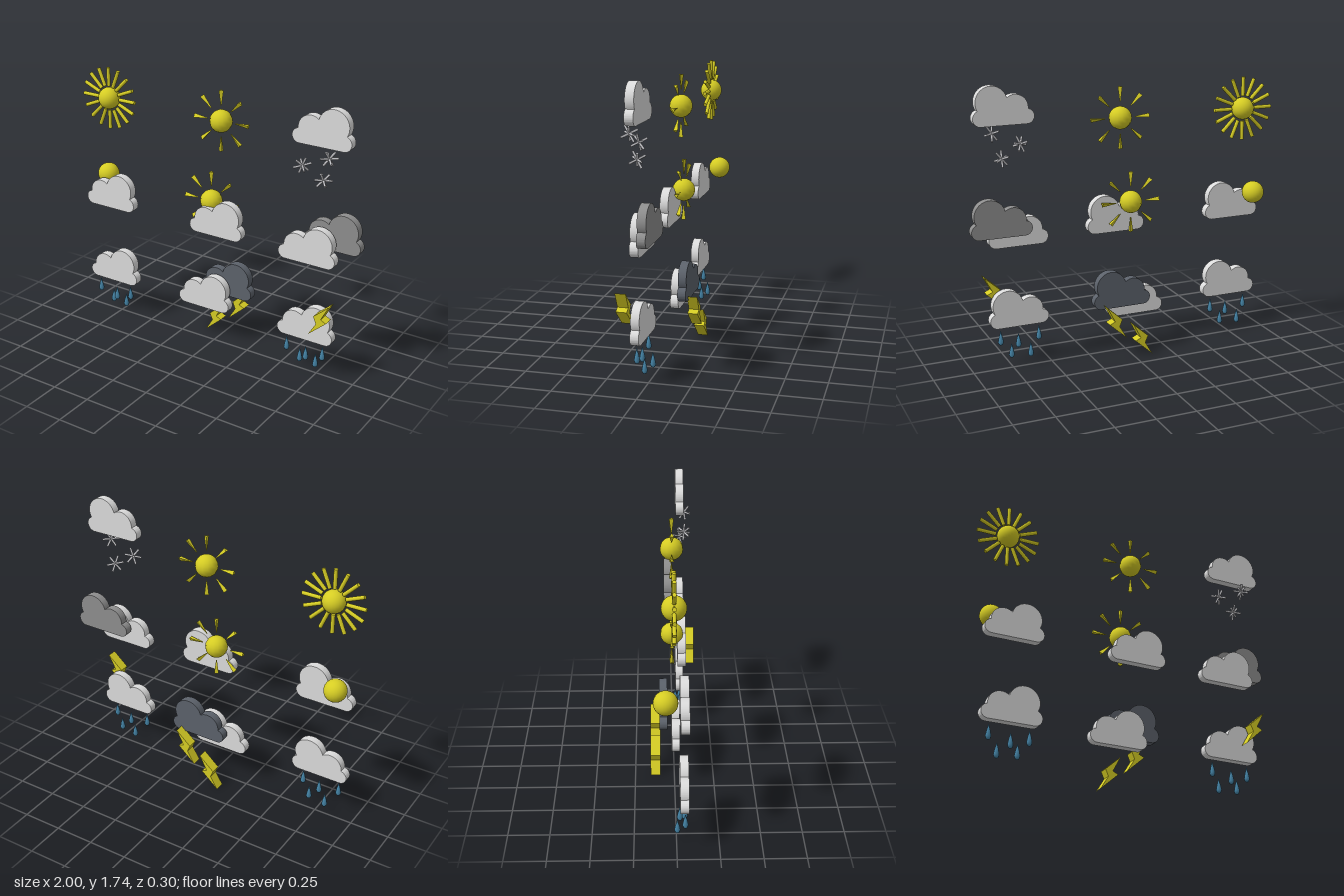
import * as THREE from 'three';
import { toCreasedNormals } from 'three/addons/utils/BufferGeometryUtils.js';

const material = (name, color, flatShading = false) => {
  const m = new THREE.MeshStandardMaterial({ color, flatShading });
  m.name = name;
  return m;
};

export function createModel() {
  const yellow = material('sun yellow', 0xd6cd24);
  const lightGrey = material('cloud grey', 0xdcdcdc);
  const darkGrey = material('dark cloud grey', 0x8e8e8e);
  const slate = material('storm slate', 0x5c626b);
  const blue = material('rain blue', 0x4585a8);
  const snowGrey = material('snow grey', 0xc4c4c8);

  const model = new THREE.Group();
  model.name = 'weatherSymbols';

  const add = (parent, name, geometry, mat, x = 0, y = 0, z = 0) => {
    const mesh = new THREE.Mesh(geometry, mat);
    mesh.name = name;
    mesh.position.set(x, y, z);
    parent.add(mesh);
    return mesh;
  };
  const group = (name, x, y, z) => {
    const g = new THREE.Group();
    g.name = name;
    g.position.set(x, y, z);
    model.add(g);
    return g;
  };

  // Cloud outline: union of four circles [x, y, radius] on a flat base
  const puffs = [[-0.142, 0.045, 0.045], [-0.07, 0.098, 0.08], [0.073, 0.139, 0.096], [0.139, 0.048, 0.048]];
  const upperCrossing = ([x0, y0, r0], [x1, y1, r1]) => {
    const dx = x1 - x0, dy = y1 - y0, d = Math.hypot(dx, dy);
    const a = (d * d + r0 * r0 - r1 * r1) / (2 * d);
    const h = Math.sqrt(Math.max(0, r0 * r0 - a * a));
    return [x0 + (a * dx - h * dy) / d, y0 + (a * dy + h * dx) / d];
  };
  const outline = new THREE.Shape();
  let start = [puffs[0][0], 0];
  outline.moveTo(...start);
  puffs.forEach((p, i) => {
    const end = i < 3 ? upperCrossing(p, puffs[i + 1]) : [p[0], 0];
    const angle = (q) => Math.atan2(q[1] - p[1], q[0] - p[0]);
    outline.absarc(p[0], p[1], p[2], angle(start), angle(end), true);
    start = end;
  });
  const cloudGeometry = toCreasedNormals(
    new THREE.ExtrudeGeometry(outline, { depth: 0.052, bevelEnabled: false, curveSegments: 16 }), 0.5);
  const cloud = (name, mat, x, y, z) => add(model, name, cloudGeometry, mat, x, y, z);

  // Suns with a ring of rays
  const ballGeometry = new THREE.SphereGeometry(0.07, 24, 16);
  const coarseBall = new THREE.SphereGeometry(0.07, 14, 10);
  const rodRay = new THREE.CylinderGeometry(0.012, 0.012, 0.12, 10).translate(0, 0.14, 0);
  const wedgeRay = toCreasedNormals(
    new THREE.CylinderGeometry(0.016, 0.003, 0.092, 3, 1, false, Math.PI / 2).translate(0, 0.144, 0), 0.3);
  const sun = (name, x, y, z, ball, ray, count) => {
    const g = group(name, x, y, z);
    add(g, 'sunBall', ball, yellow);
    for (let i = 0; i < count; i++) {
      add(g, 'sunRay', ray, yellow).rotation.z = (i / count) * Math.PI * 2;
    }
  };

  // Snowflakes: three crossed bars in a plane plus one through it
  const barGeometry = new THREE.CylinderGeometry(0.007, 0.007, 0.108, 6);
  const snowflake = (x, y, z, turn) => {
    const g = group('snowflake', x, y, z);
    for (let i = 0; i < 3; i++) {
      add(g, 'snowflakeBar', barGeometry, snowGrey).rotation.z = (i * Math.PI) / 3;
    }
    add(g, 'snowflakeBar', barGeometry, snowGrey).rotation.x = Math.PI / 2;
    g.rotation.set(0.45, 0.65, turn);
  };

  // Raindrops
  const dropProfile = [[0, -0.098], [0.012, -0.092], [0.018, -0.076], [0.012, -0.045], [0, 0]]
    .map(([r, y]) => new THREE.Vector2(r, y));
  const dropGeometry = new THREE.LatheGeometry(dropProfile, 8);
  const dropSpots = [[-0.128, -0.022, 0.05], [0.005, -0.053, 0.05], [0.118, -0.022, 0.05],
    [-0.059, -0.106, 0.005], [0.059, -0.102, 0.022]];
  const rain = (x, y) => {
    const g = group('rain', x, y, 0);
    dropSpots.forEach((p) => add(g, 'raindrop', dropGeometry, blue, ...p));
  };

  // Lightning bolts
  const boltShape = new THREE.Shape([[0.065, 0.108], [-0.035, 0.02], [-0.016, -0.025], [-0.066, -0.108],
    [0.05, -0.005], [0.014, 0.012]].map(([x, y]) => new THREE.Vector2(x, y)));
  const boltGeometry = new THREE.ExtrudeGeometry(boltShape, { depth: 0.064, bevelEnabled: false });
  const bolt = (x, y, z) => add(model, 'lightningBolt', boltGeometry, yellow, x, y, z);

  // Top row: bright sun, clear sun, snow
  sun('brightSun', -0.8, 1.505, -0.015, ballGeometry, rodRay, 16);
  sun('clearSun', 0.04, 1.508, -0.015, coarseBall, wedgeRay, 8);
  cloud('snowCloud', lightGrey, 0.757, 1.51, 0.02);
  snowflake(0.815, 1.457, 0.08, 0.2);
  snowflake(0.644, 1.382, 0.075, 0.5);
  snowflake(0.768, 1.307, 0.05, 0.1);

  // Middle row: sun behind cloud, rayed sun behind cloud, overcast
  sun('hiddenSun', -0.866, 0.965, -0.062, ballGeometry, rodRay, 0);
  cloud('sunnyCloud', lightGrey, -0.757, 0.789, 0.02);
  sun('rayedSun', -0.03, 0.978, -0.015, coarseBall, wedgeRay, 8);
  cloud('brightCloud', lightGrey, 0.053, 0.786, 0.02);
  cloud('overcastCloud', lightGrey, 0.686, 0.77, 0.02);
  cloud('overcastRearCloud', darkGrey, 0.81, 0.857, -0.057);

  // Bottom row: rain, thunderstorm, rain with lightning
  cloud('rainCloud', lightGrey, -0.751, 0.26, 0.02);
  rain(-0.751, 0.26);
  cloud('stormCloud', lightGrey, -0.06, 0.242, -0.018);
  cloud('stormRearCloud', slate, 0.06, 0.33, -0.094);
  bolt(-0.055, 0.115, -0.152);
  bolt(0.12, 0.249, -0.152);
  cloud('thunderCloud', lightGrey, 0.692, 0.26, 0.02);
  rain(0.692, 0.26);
  bolt(0.826, 0.466, 0.088);

  return model;
}
